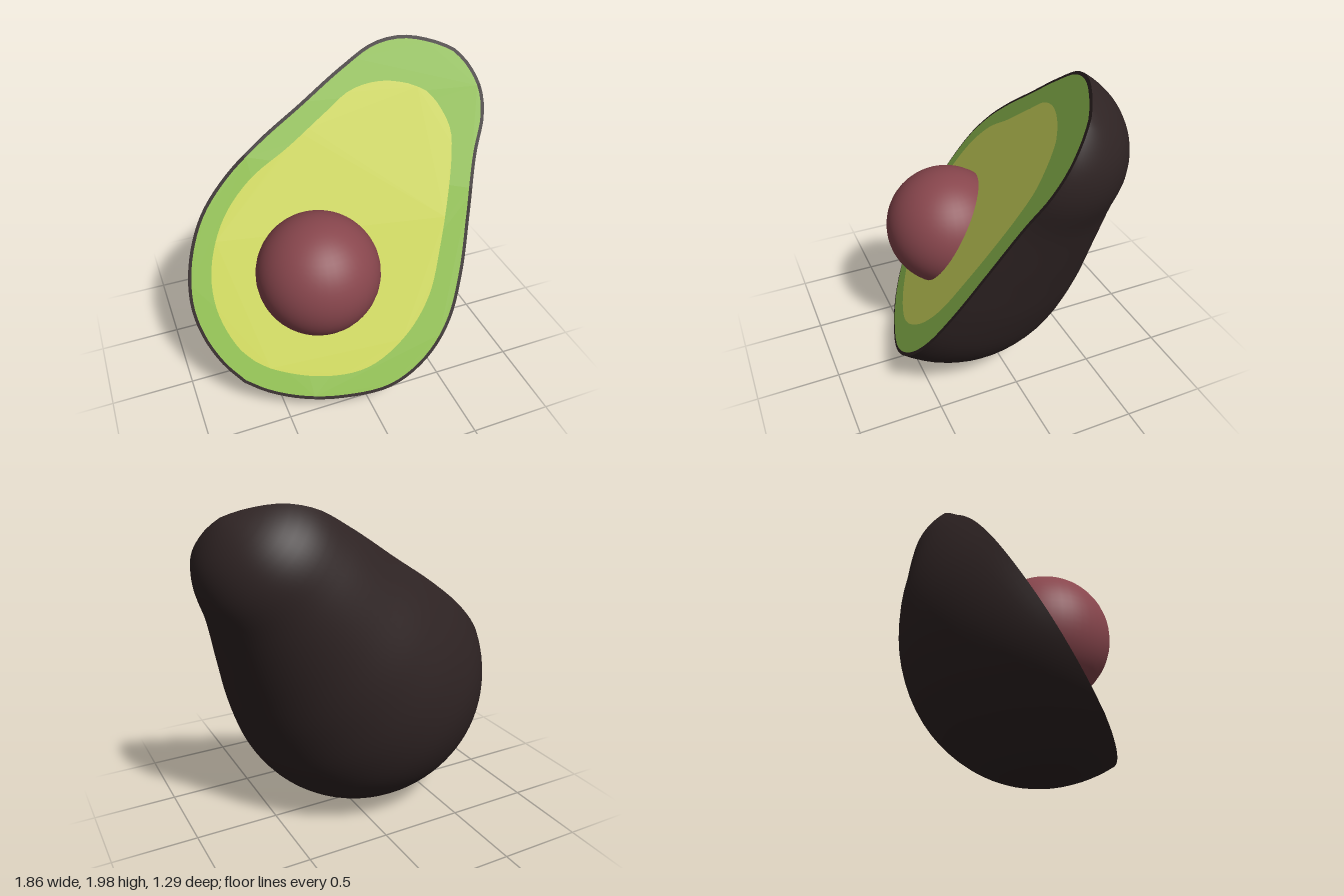
import * as THREE from 'three';
import { mergeVertices } from 'three/addons/utils/BufferGeometryUtils.js';

const mat = (name, color) => {
  const m = new THREE.MeshStandardMaterial({ color });
  m.name = name;
  return m;
};

// Stations along the fruit's long axis: [height, half width, sideways centre]
const BODY = [
  [-0.829, 0, 0.018], [-0.804, 0.155, 0.012], [-0.729, 0.346, 0.015], [-0.601, 0.53, 0.03],
  [-0.379, 0.715, 0.065], [-0.116, 0.803, 0.066], [0.156, 0.8, 0.058], [0.446, 0.722, 0.033],
  [0.746, 0.604, 0], [1.071, 0.474, -0.04], [1.286, 0.387, -0.044], [1.416, 0.27, -0.035],
  [1.496, 0.1, -0.018], [1.514, 0, -0.015],
];
const CORE = [
  [-0.679, 0, 0], [-0.664, 0.117, 0], [-0.544, 0.367, 0.022], [-0.354, 0.55, 0.042],
  [-0.074, 0.645, 0.035], [0.216, 0.637, 0.028], [0.516, 0.534, 0.016], [0.802, 0.43, -0.015],
  [0.983, 0.354, -0.039], [1.116, 0.25, -0.033], [1.201, 0.095, -0.03], [1.221, 0, -0.02],
];

// Smooth stations: x = half width, y = height, z = sideways centre
const smooth = (rows, n) =>
  new THREE.CatmullRomCurve3(rows.map(([y, w, c]) => new THREE.Vector3(w, y, c))).getSpacedPoints(n);

// Closed outline: up the right edge, down the left edge
function outline(stations) {
  const right = stations.map((s) => new THREE.Vector2(s.z + s.x, s.y));
  const left = stations.slice(1, -1).reverse().map((s) => new THREE.Vector2(s.z - s.x, s.y));
  return [...right, ...left];
}

// Move every outline point inward by a fixed distance
function inset(points, d) {
  const n = points.length;
  return points.map((p, i) => {
    const t = points[(i + 1) % n].clone().sub(points[(i + n - 1) % n]).normalize();
    return new THREE.Vector2(p.x - t.y * d, p.y + t.x * d);
  });
}

// Half-round shell lofted behind the cut face
function shellGeometry(stations, segments) {
  const pos = [], index = [];
  stations.forEach((s, i) => {
    for (let j = 0; j <= segments; j++) {
      const a = (j / segments) * Math.PI;
      pos.push(s.z + s.x * Math.cos(a), s.y, -s.x * 0.99 * Math.sin(a));
      if (i < stations.length - 1 && j < segments) {
        const k = i * (segments + 1) + j, up = k + segments + 1;
        index.push(k, k + 1, up, k + 1, up + 1, up);
      }
    }
  });
  let geo = new THREE.BufferGeometry();
  geo.setAttribute('position', new THREE.Float32BufferAttribute(pos, 3));
  geo.setIndex(index);
  geo = mergeVertices(geo, 1e-5);
  geo.computeVertexNormals();
  return geo;
}

export function createModel() {
  const skin = mat('dark skin', 0x2e2323);
  const green = mat('green flesh', 0x92c152);
  const yellow = mat('yellow flesh', 0xd0d95d);
  const brown = mat('brown pit', 0x88464d);

  const model = new THREE.Group();
  model.name = 'avocadoHalf';
  const add = (parent, name, geo, material) => {
    const m = new THREE.Mesh(geo, material);
    m.name = name;
    parent.add(m);
    return m;
  };

  // Tilted fruit: local y is the long axis, local z the cut face normal
  const fruit = new THREE.Group();
  fruit.name = 'fruit';
  const zAxis = new THREE.Vector3(-0.354, 0.6175, 1).normalize();
  const xAxis = new THREE.Vector3(0.663, 0.72, -0.207).cross(zAxis).normalize();
  const yAxis = zAxis.clone().cross(xAxis);
  fruit.quaternion.setFromRotationMatrix(new THREE.Matrix4().makeBasis(xAxis, yAxis, zAxis));
  fruit.position.set(-0.19, 0.83, 0.137);
  model.add(fruit);

  const body = smooth(BODY, 56);
  const rim = outline(body);
  add(fruit, 'skinShell', shellGeometry(body, 40), skin);

  // Cut face, layered as thin flat sheets
  const sheet = (name, points, z, material) => {
    add(fruit, name, new THREE.ShapeGeometry(new THREE.Shape(points)), material).position.z = z;
  };
  sheet('skinRim', rim, 0, skin);
  sheet('outerFlesh', inset(rim, 0.02), 0.004, green);
  sheet('innerFlesh', outline(smooth(CORE, 48)), 0.008, yellow);

  // Pit, half sunk in the flesh
  const pit = add(model, 'pit', new THREE.SphereGeometry(0.37, 40, 28), brown);
  pit.position.set(-0.19, 0.822, 0.18);

  return model;
}
